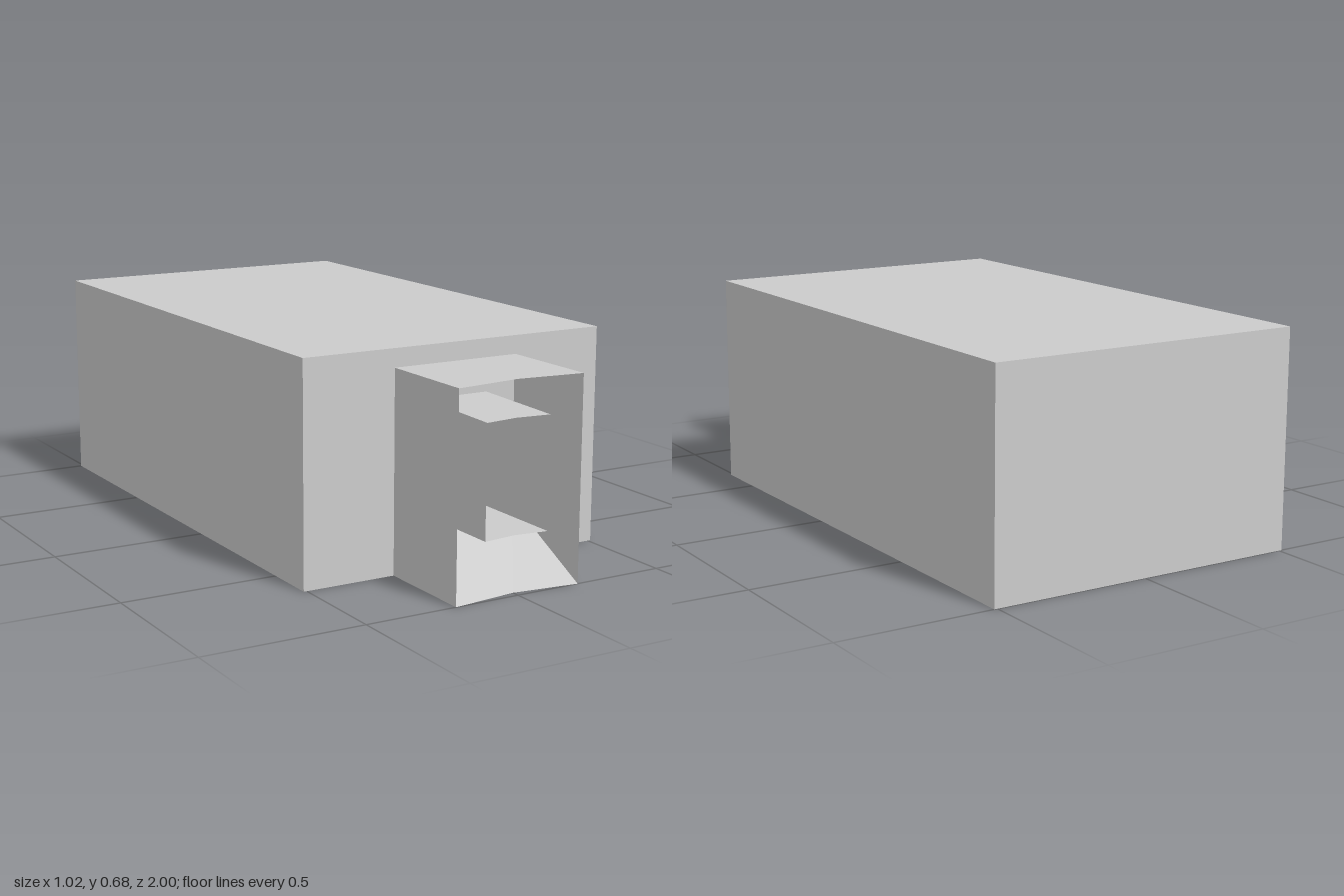
import * as THREE from 'three';

const grey = new THREE.MeshStandardMaterial({ color: 0xcccccc, side: THREE.DoubleSide, flatShading: true });

const BODY_W = 1.02, BODY_H = 0.677, BODY_BACK = -1, BODY_FRONT = 0.67;
const RECESS = 0.01, RIM = 0.085;
const PORCH_W = 0.21;

// Six-point section: rectangle with a middle point on floor and ceiling
const section = (w, bottom, top) => [
  [-w, bottom], [0, bottom], [w, bottom], [w, top], [0, top], [-w, top],
];

// Front rim of the entrance is notched to a shallow V at the middle
const notchZ = (x) => 0.975 + 0.025 * Math.abs(x) / PORCH_W;

// Open sleeve from the notched front rim back to the body wall
function sleeve(name, front, back) {
  const pos = [], index = [], n = front.length;
  front.forEach(([x, y]) => pos.push(x, y, notchZ(x)));
  back.forEach(([x, y]) => pos.push(x, y, BODY_FRONT));
  for (let i = 0; i < n; i++) {
    const j = (i + 1) % n;
    index.push(i, n + j, n + i, i, j, n + j);
  }
  const indexed = new THREE.BufferGeometry();
  indexed.setAttribute('position', new THREE.Float32BufferAttribute(pos, 3));
  indexed.setIndex(index);
  const geo = indexed.toNonIndexed();
  geo.computeVertexNormals();
  const mesh = new THREE.Mesh(geo, grey);
  mesh.name = name;
  return mesh;
}

function rectangle(Type, w, d) {
  return new Type([[-w, -d], [w, -d], [w, d], [-w, d]].map(([x, y]) => new THREE.Vector2(x / 2, y / 2)));
}

export function createModel() {
  const model = new THREE.Group();
  model.name = 'blockWithEntrance';
  const depth = BODY_FRONT - BODY_BACK, midZ = (BODY_FRONT + BODY_BACK) / 2;

  // Main block
  const body = new THREE.Mesh(new THREE.BoxGeometry(BODY_W, BODY_H - RECESS, depth), grey);
  body.position.set(0, (BODY_H + RECESS) / 2, midZ);
  body.name = 'body';
  model.add(body);

  // Raised rim around the shallow recess underneath
  const outline = rectangle(THREE.Shape, BODY_W, depth);
  outline.holes.push(rectangle(THREE.Path, BODY_W - 2 * RIM, depth - 2 * RIM));
  const rimGeo = new THREE.ExtrudeGeometry(outline, { depth: RECESS, bevelEnabled: false });
  rimGeo.rotateX(-Math.PI / 2);
  const rim = new THREE.Mesh(rimGeo, grey);
  rim.position.z = midZ;
  rim.name = 'baseRim';
  model.add(rim);

  // Entrance: outer shell, tapering cavity with a ramped floor, inner duct
  const mouth = section(PORCH_W, 0, 0.62);
  model.add(
    sleeve('entranceShell', mouth, mouth),
    sleeve('entranceCavity', mouth, section(0.207, 0.17, 0.604)),
    sleeve('innerDuct', section(0.107, 0.17, 0.51), section(0.107, 0.17, 0.517)),
  );
  return model;
}
